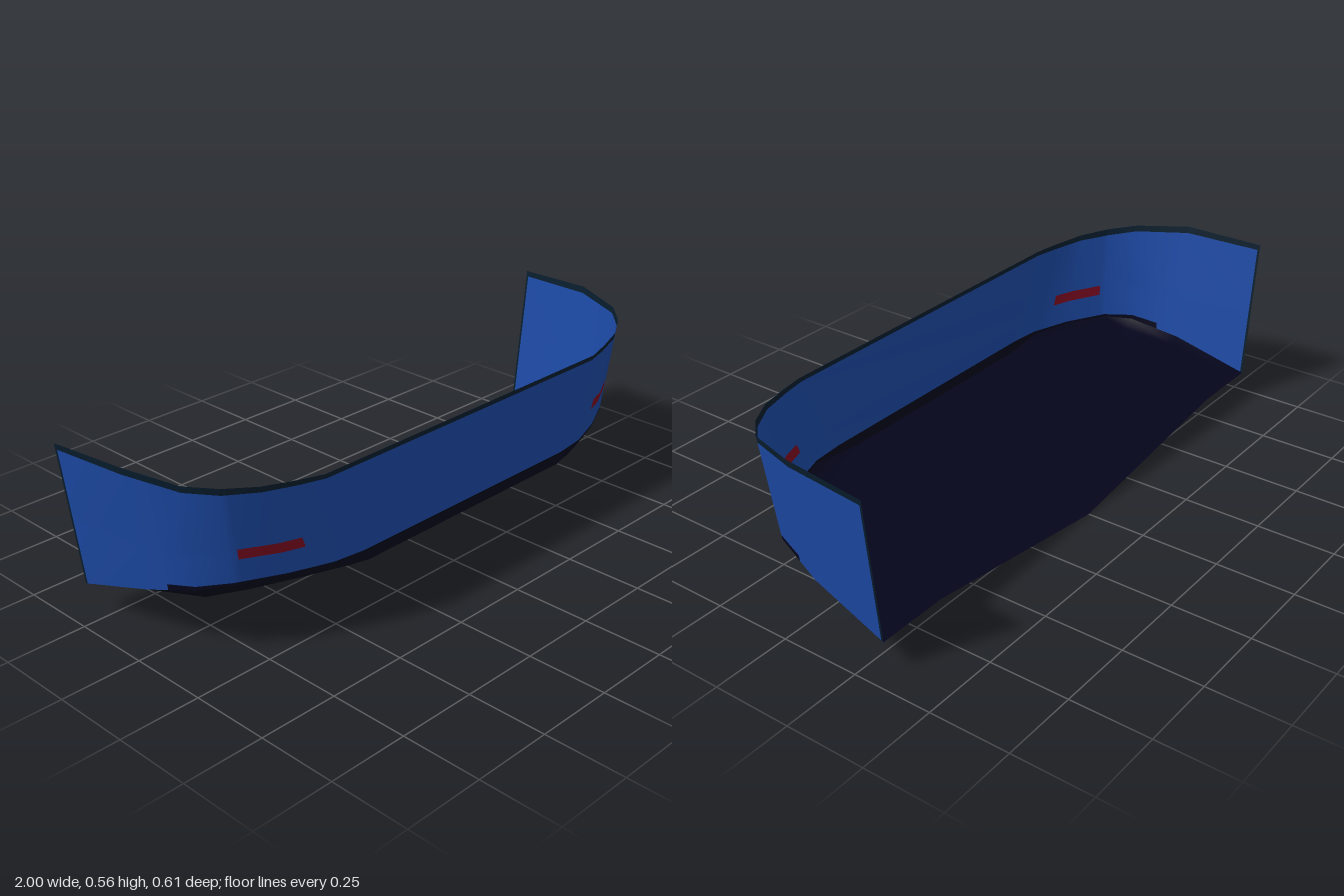
import * as THREE from 'three';

// Half outline from the rear end of the side wall round to the front panel:
// top edge, bottom edge, height of the dark base paint, depth of the rim band
const STATIONS = [
  { top: [1, 0.552, -0.305], bot: [0.945, 0.095, -0.305], low: 0.025, rim: 0.018 },
  { top: [0.98, 0.562, -0.04], bot: [0.922, 0.17, -0.05], low: 0.025, rim: 0.022 },
  { top: [0.92, 0.545, 0.13], bot: [0.877, 0.211, 0.11], low: 0.014, rim: 0.02 },
  { top: [0.85, 0.537, 0.202], bot: [0.805, 0.228, 0.182], low: 0.007, rim: 0.021 },
  { top: [0.762, 0.53, 0.255], bot: [0.67, 0.23, 0.25], low: 0.007, rim: 0.018 },
  { top: [0.66, 0.523, 0.286], bot: [0.54, 0.226, 0.294], low: 0.01, rim: 0.016 },
  { top: [0.58, 0.518, 0.305], bot: [0.42, 0.198, 0.305], low: 0.036, rim: 0.014 },
];
// Bilge (x, y), chine (x, y) and keel height of the floor at each station
const FLOOR = [
  [0.9, 0.095, 0.71, 0.095, 0],
  [0.89, 0.153, 0.7, 0.148, 0.088],
  [0.847, 0.18, 0.66, 0.172, 0.144],
  [0.755, 0.194, 0.55, 0.184, 0.166],
  [0.6, 0.199, 0.42, 0.192, 0.182],
  [0.48, 0.201, 0.34, 0.197, 0.194],
  [0.36, 0.198, 0.25, 0.198, 0.198],
];

const lerp = THREE.MathUtils.lerp;
const mix = (a, b, t) => a.map((v, i) => lerp(v, b[i], t));

function stationAt(u) {
  const i = Math.min(Math.floor(u), STATIONS.length - 2);
  const a = STATIONS[i], b = STATIONS[i + 1], t = u - i;
  return { top: mix(a.top, b.top, t), bot: mix(a.bot, b.bot, t), low: lerp(a.low, b.low, t), rim: lerp(a.rim, b.rim, t) };
}

// Joins equal-length rows of points; pick() gives the material of each cell
function loft(rows, pick) {
  const n = rows[0].length, index = [];
  const g = new THREE.BufferGeometry();
  for (let i = 0; i < rows.length - 1; i++) {
    for (let j = 0; j < n - 1; j++) {
      const a = i * n + j, b = a + n;
      g.addGroup(index.length, 6, pick(i, j));
      index.push(a, b, a + 1, b, b + 1, a + 1);
    }
  }
  g.setAttribute('position', new THREE.Float32BufferAttribute(rows.flat(2), 3));
  g.setIndex(index);
  g.computeVertexNormals();
  return g;
}

export function createModel() {
  const model = new THREE.Group();
  model.name = 'curvedBowShell';
  const material = (name, color) => {
    const m = new THREE.MeshStandardMaterial({ color, side: THREE.DoubleSide });
    m.name = name;
    return m;
  };
  const blue = material('blue', 0x1c49a4);
  const navy = material('darkNavy', 0x05051c);
  const slate = material('darkSlate', 0x071c2c);
  const red = material('darkRed', 0x7c0a20);

  // Wall: columns round one half, then mirrored to the other side
  const us = [0, 0.03, 1, 1.45, 2, 3, 3.16, 4, 4.55, 5, 6];
  const half = us.map((u) => {
    const s = stationAt(u);
    const levels = [s.bot[1], s.bot[1] + s.low, 0.309, 0.341, s.top[1] - s.rim, s.top[1]];
    return levels.map((y) => mix(s.bot, s.top, (y - s.bot[1]) / (s.top[1] - s.bot[1])));
  });
  const mirrored = half.map((col) => col.map(([x, y, z]) => [-x, y, z])).reverse();
  const middle = us.length - 1;
  const wall = new THREE.Mesh(loft([...half, ...mirrored], (i, j) => {
    const c = Math.min(i, 2 * middle - i); // same cell number on both sides
    if (j === 4 || c === 0) return 2; // rim and rear edge
    if (j === 0 && c >= 3) return 1; // base paint
    if (j === 2 && (c === 6 || c === 7)) return 3; // marker lights
    return 0;
  }), [blue, navy, slate, red]);
  wall.name = 'wrapAroundWall';
  model.add(wall);

  // Floor: V sections with a rounded bilge, flattening towards the front
  const rows = STATIONS.map(({ bot: [x, y, z] }, i) => {
    const [bx, by, cx, cy, keel] = FLOOR[i];
    const side = [[x, y, z], [bx, by, z], [cx, cy, z]];
    return [...side.map(([px, py, pz]) => [-px, py, pz]), [0, keel, z], ...side.reverse()];
  });
  const floor = new THREE.Mesh(loft(rows, () => 0), [navy]);
  floor.name = 'keelFloor';
  model.add(floor);

  return model;
}
